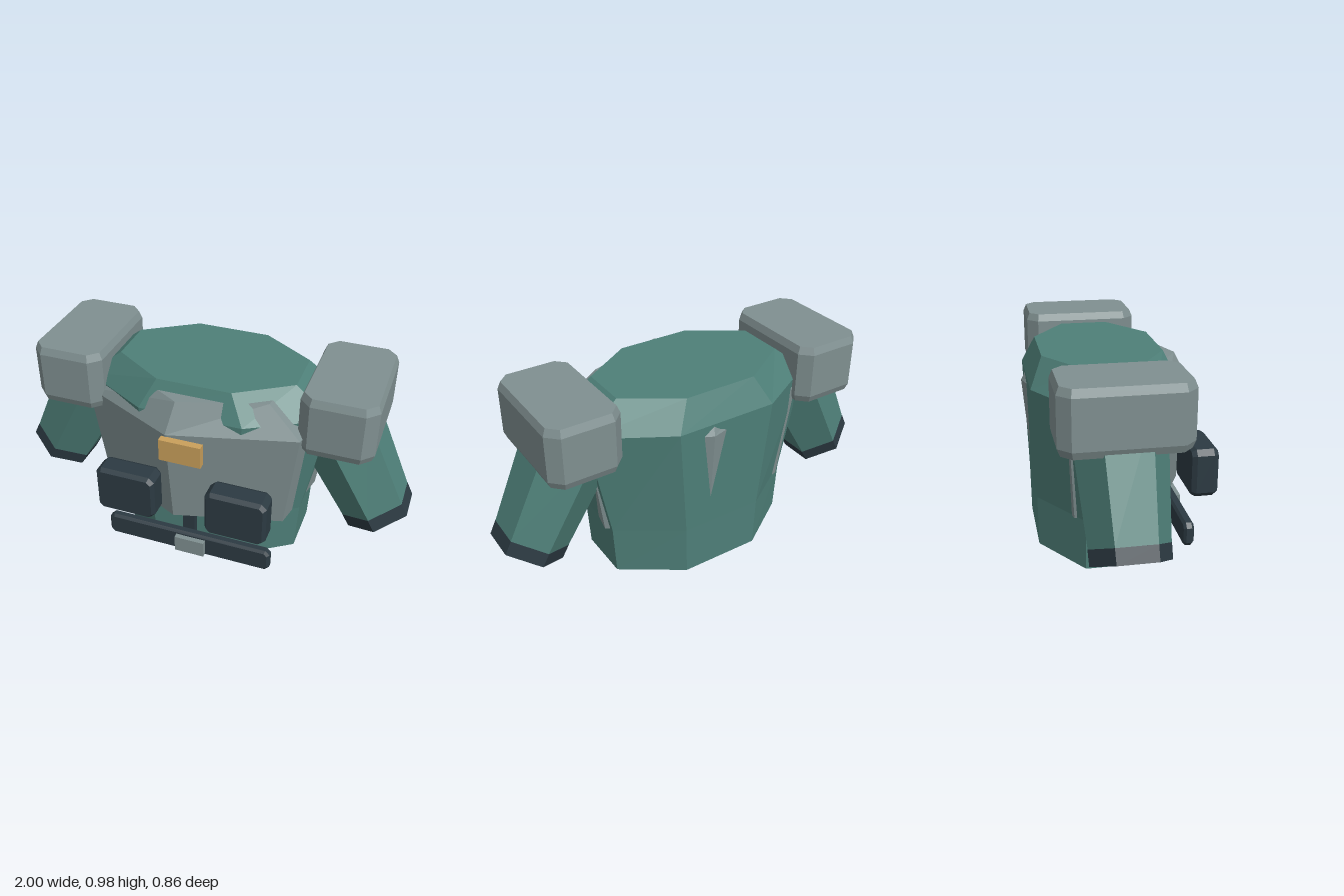
import * as THREE from 'three';

const mat = (name, color) => Object.assign(new THREE.MeshStandardMaterial({ color }), { name });

function add(parent, name, geometry, material, x = 0, y = 0, z = 0) {
  const mesh = new THREE.Mesh(geometry, material);
  mesh.name = name;
  mesh.position.set(x, y, z);
  parent.add(mesh);
  return mesh;
}

// Faceted prism through elliptical rings [y, rx, rz], listed from top to bottom
function loft(sides, rings, turn = 0) {
  const n = rings.length - 1;
  const cyl = new THREE.CylinderGeometry(1, 1, 1, sides, n, false, turn);
  const p = cyl.attributes.position;
  for (let i = 0; i < p.count; i++) {
    const [y, rx, rz] = rings[Math.round((0.5 - p.getY(i)) * n)];
    p.setXYZ(i, p.getX(i) * rx, y, p.getZ(i) * rz);
  }
  const g = cyl.toNonIndexed();
  g.computeVertexNormals();
  return g;
}

// Box with cut corners, extruded along z with one flat bevel, centred
function cutBox(w, h, d, cut, size, thick) {
  const a = w / 2 - size, b = h / 2 - size;
  const shape = new THREE.Shape([
    [a, -b + cut], [a, b - cut], [a - cut, b], [-a + cut, b],
    [-a, b - cut], [-a, -b + cut], [-a + cut, -b], [a - cut, -b],
  ].map(([x, y]) => new THREE.Vector2(x, y)));
  const g = new THREE.ExtrudeGeometry(shape, {
    depth: d - 2 * thick, bevelEnabled: true, bevelSegments: 1, bevelSize: size, bevelThickness: thick,
  });
  return g.translate(0, 0, thick - d / 2);
}

export function createModel() {
  const model = new THREE.Group();
  model.name = 'armouredTorso';
  const teal = mat('tealCloth', 0x4e7f78);
  const grey = mat('greyArmour', 0x7f8f90);
  const dark = mat('darkLeather', 0x2c3a42);
  const gold = mat('goldBadge', 0xc99f5b);

  // Eight-sided torso
  const c = Math.cos(Math.PI / 8);
  const body = [[0.935, 0.43, 0.28], [0.8, 0.6, 0.34], [0.25, 0.492, 0.323], [0, 0.478, 0.32]];
  add(model, 'torso', loft(8, body.map(([y, x, z]) => [y, x / c, z / c]), Math.PI / 8), teal, 0, 0, -0.07);

  // Six-sided vest, turned slightly, its corners breaking through the torso
  add(model, 'vest', loft(6, [[0.89, 0.43, 0.33], [0.75, 0.63, 0.4], [0.245, 0.555, 0.355]], -0.129),
    grey, 0, 0, -0.032);

  // Badge, belt, strap and buckle
  add(model, 'badge', new THREE.BoxGeometry(0.2, 0.11, 0.035), gold, 0, 0.685, 0.378);
  add(model, 'strap', new THREE.BoxGeometry(0.06, 0.25, 0.035), dark, -0.005, 0.175, 0.268);
  add(model, 'belt', cutBox(0.84, 0.12, 0.05, 0.015, 0.012, 0.012), dark, 0, 0.09, 0.3);
  add(model, 'buckle', new THREE.BoxGeometry(0.15, 0.085, 0.07), grey, 0.019, 0.088, 0.315);

  for (const s of [1, -1]) {
    const side = s > 0 ? 'left' : 'right';

    // Chest pouch
    add(model, side + 'Pouch', cutBox(0.295, 0.235, 0.125, 0.018, 0.013, 0.022), dark, s * 0.272, 0.4, 0.367);

    // Shoulder pad
    const pad = cutBox(0.35, 0.565, 0.29, 0.045, 0.014, 0.035).rotateX(-Math.PI / 2);
    add(model, side + 'ShoulderPad', pad, grey, s * 0.65, 0.83, -0.073);

    // Splayed upper arm with a dark cuff
    const arm = new THREE.Group();
    arm.name = side + 'Arm';
    arm.position.set(s * 0.866, 0.238, -0.072);
    arm.rotation.z = s * 0.49;
    add(arm, 'sleeve', loft(6, [[0.6, 0.212, 0.212], [0.07, 0.175, 0.175]]), teal);
    add(arm, 'cuff', loft(6, [[0.07, 0.176, 0.176], [0, 0.174, 0.174]]), dark);
    model.add(arm);
  }
  return model;
}
